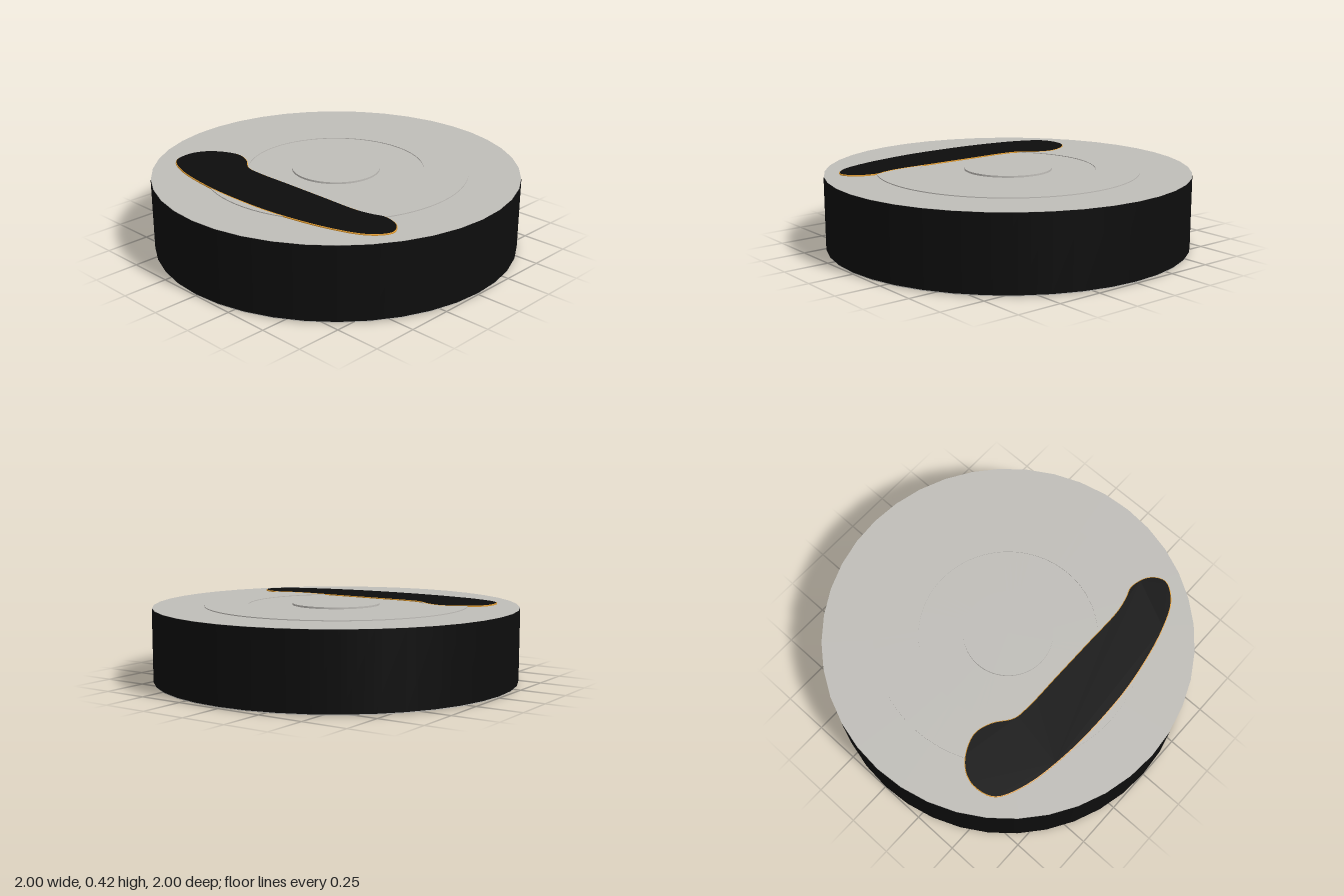
import * as THREE from 'three';
import { toCreasedNormals } from 'three/addons/utils/BufferGeometryUtils.js';

export function createModel() {
  const model = new THREE.Group();
  const grey = new THREE.MeshStandardMaterial({ color: 0xbfbdb8 });
  const black = new THREE.MeshStandardMaterial({ color: 0x0d0d0d });
  const orange = new THREE.MeshStandardMaterial({ color: 0xd9962f });
  grey.name = 'warm grey';
  black.name = 'black';
  orange.name = 'orange';

  const add = (name, geometry, material) => {
    const mesh = new THREE.Mesh(geometry, material);
    mesh.name = name;
    model.add(mesh);
    return mesh;
  };
  const lathe = (points, segments) => toCreasedNormals(
    new THREE.LatheGeometry(points.map(([r, y]) => new THREE.Vector2(r, y)), segments), 0.5);

  // Grey core with a black band wrapped round it
  add('body', lathe([[0, 0.004], [0.998, 0.004], [0.998, 0.41], [0, 0.41]], 40), grey);
  const band = new THREE.CylinderGeometry(1, 1, 0.4, 40, 1, true);
  band.translate(0, 0.209, 0);
  add('sideBand', band, black);

  // Stepped top: raised ring, shallow recess and central boss
  add('topRings', lathe([
    [0.72, 0.4], [0.72, 0.415], [0.48, 0.415], [0.48, 0.411],
    [0.24, 0.411], [0.24, 0.421], [0, 0.421],
  ], 80), grey);

  // Curved slot running through the body, black faces with an orange edge
  const outline = [
    [-0.44, -0.735], [-0.36, -0.715], [-0.29, -0.65], [-0.243, -0.53], [-0.27, -0.43],
    [-0.34, -0.33], [-0.353, -0.24], [-0.353, 0], [-0.353, 0.25], [-0.352, 0.49],
    [-0.335, 0.58], [-0.315, 0.65], [-0.35, 0.755], [-0.43, 0.8], [-0.525, 0.735],
    [-0.6, 0.565], [-0.665, 0.245], [-0.68, 0], [-0.67, -0.29], [-0.62, -0.565], [-0.545, -0.705],
  ].map(([x, z]) => new THREE.Vector3(x, -z, 0));
  const curve = new THREE.CatmullRomCurve3(outline, true);
  const shape = new THREE.Shape(curve.getPoints(100).slice(0, -1).map(p => new THREE.Vector2(p.x, p.y)));
  const slot = new THREE.ExtrudeGeometry(shape, {
    depth: 0.412, bevelEnabled: true, bevelSize: 0.004, bevelOffset: -0.003,
    bevelThickness: 0.002, bevelSegments: 1,
  });
  slot.rotateX(-Math.PI / 2);
  slot.translate(0, 0.003, 0);
  add('curvedSlot', slot, [black, orange]);

  // Thin black discs on the underside: [name, radius, x, z]
  const discs = [
    ['baseOpening', 0.323, 0, 0],
    ['baseOpeningLobe', 0.12, -0.26, -0.08],
    ['baseHole', 0.035, 0.256, -0.69],
    ['baseHole', 0.035, 0.06, -0.73],
    ['basePin', 0.012, -0.44, 0.85],
    ['basePin', 0.012, -0.38, 0.86],
    ['basePin', 0.012, -0.33, -0.8],
    ['basePin', 0.012, -0.36, -0.85],
  ];
  discs.forEach(([name, r, x, z], i) => {
    const low = i < 2 ? 0.002 : 0;
    add(name, new THREE.CylinderGeometry(r, r, 0.008, r > 0.1 ? 48 : 16), black)
      .position.set(x, low + 0.004, z);
  });

  return model;
}
